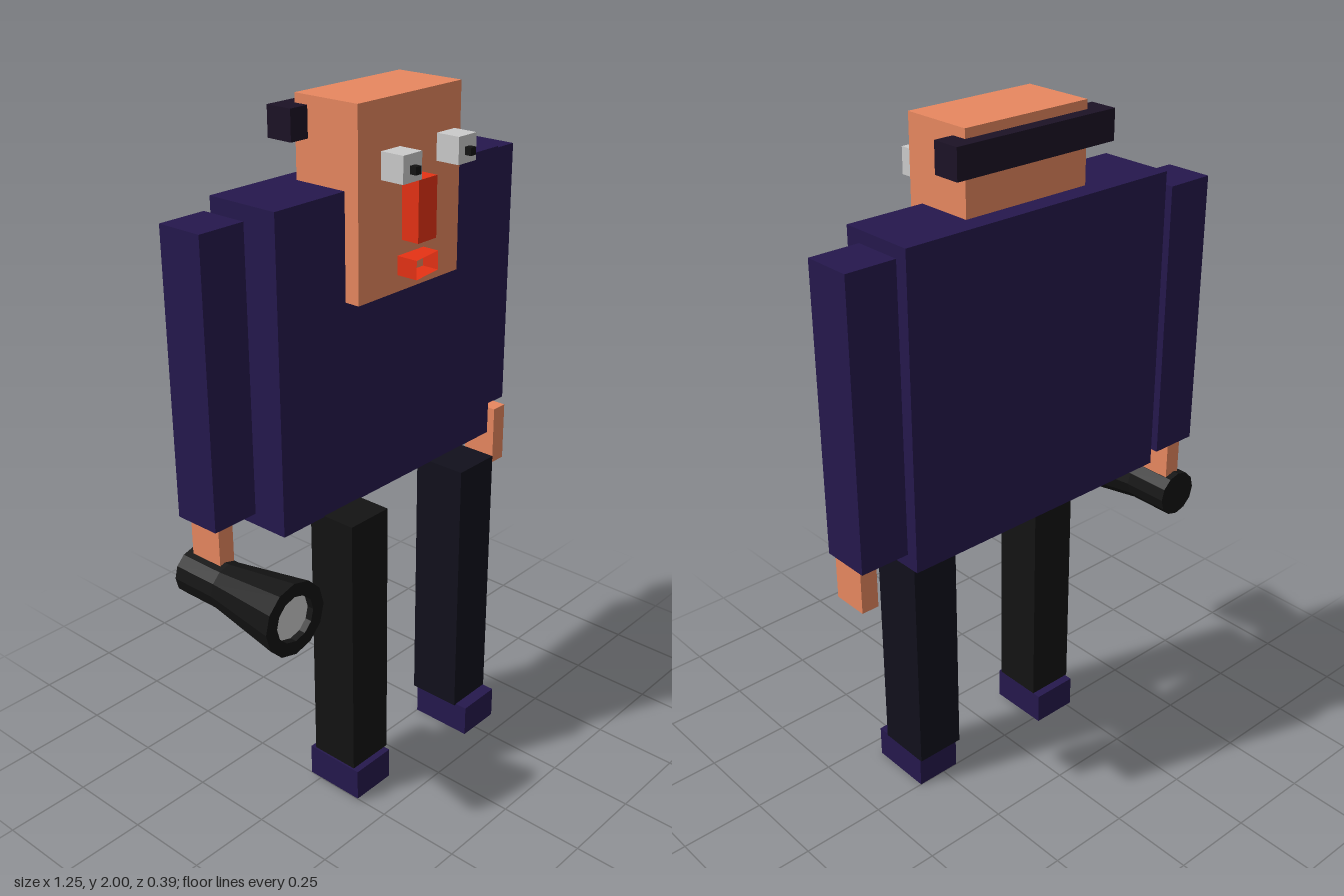
import * as THREE from 'three';

const material = (color, side = THREE.FrontSide) =>
  new THREE.MeshStandardMaterial({ color, side, flatShading: true });

export function createModel() {
  const model = new THREE.Group();
  model.name = 'blockFigure';

  const skin = material(0xe88860);
  const cloth = material(0x25184d);
  const hair = material(0x1c1226);
  const red = material(0xe63214);
  const black = material(0x131313);
  const navy = material(0x11101c);
  const grey = material(0xcccccc);

  // Box given by its extent along each axis
  function box(name, mat, [x0, x1], [y0, y1], [z0, z1]) {
    const mesh = new THREE.Mesh(new THREE.BoxGeometry(x1 - x0, y1 - y0, z1 - z0), mat);
    mesh.position.set((x0 + x1) / 2, (y0 + y1) / 2, (z0 + z1) / 2);
    mesh.name = name;
    model.add(mesh);
    return mesh;
  }

  // Body and head
  box('torso', cloth, [-0.41, 0.465], [0.905, 1.78], [-0.183, 0.04]);
  box('head', skin, [-0.165, 0.235], [1.49, 2], [-0.125, 0.085]);
  box('hairBand', hair, [-0.225, 0.292], [1.892, 1.975], [-0.163, -0.082]);

  // Arms and hands
  box('rightArm', cloth, [-0.562, -0.418], [0.945, 1.74], [-0.198, -0.058]);
  box('leftArm', cloth, [0.475, 0.62], [0.955, 1.752], [-0.16, -0.02]);
  box('rightHand', skin, [-0.537, -0.487], [0.757, 0.937], [-0.18, -0.075]);
  box('leftHand', skin, [0.52, 0.572], [0.777, 0.957], [-0.083, 0.024]);

  // Legs and shoes, standing in a slightly uneven stance
  box('rightLeg', black, [-0.258, -0.113], [0.112, 0.908], [-0.01, 0.14]);
  box('leftLeg', navy, [0.192, 0.34], [0.095, 0.906], [-0.008, 0.155]);
  box('rightShoe', cloth, [-0.258, -0.118], [0.01, 0.106], [-0.03, 0.155]);
  box('leftShoe', cloth, [0.2, 0.338], [0, 0.097], [0, 0.193]);

  // Eyes with small pupils standing out in front
  for (const [side, x, y, z] of [['right', -0.052, 1.838, 0.128], ['left', 0.153, 1.85, 0.138]]) {
    const h = 0.036;
    box(side + 'Eye', grey, [x - h, x + h], [y - h, y + h], [z - h, z + h]);
    box(side + 'Pupil', black, [x - 0.011, x + 0.009], [y - 0.014, y + 0.007], [z + h, z + h + 0.02]);
  }
  box('nose', red, [0.002, 0.075], [1.627, 1.792], [0.08, 0.14]);

  // Mouth: thin open frame whose front edge slants back towards the left
  const mouthGeometry = new THREE.CylinderGeometry(Math.SQRT1_2, Math.SQRT1_2, 1, 4, 1, true);
  mouthGeometry.rotateY(Math.PI / 4).rotateX(Math.PI / 2);
  mouthGeometry.scale(0.105, 0.052, 0.06).translate(0.038, 1.562, 0.112);
  const p = mouthGeometry.attributes.position;
  for (let i = 0; i < p.count; i++) {
    p.setZ(i, p.getZ(i) < 0.112 ? 0.083 : 0.15 - (p.getX(i) + 0.015) * 0.14);
  }
  mouthGeometry.computeVertexNormals();
  const mouth = new THREE.Mesh(mouthGeometry, material(0xe63214, THREE.DoubleSide));
  mouth.name = 'mouth';
  model.add(mouth);

  // Flashlight pointing forward, with a recessed lens
  const flashlight = new THREE.Group();
  flashlight.name = 'flashlight';
  flashlight.position.set(-0.52, 0.766, 0);
  const profile = [
    [0, -0.2], [0.068, -0.2], [0.068, -0.06], [0.105, 0.182], [0.066, 0.182], [0.066, 0.16],
  ].map(([r, z]) => new THREE.Vector2(r, z));
  const casing = new THREE.Mesh(new THREE.LatheGeometry(profile, 12).rotateX(Math.PI / 2), black);
  casing.name = 'flashlightCasing';
  const lens = new THREE.Mesh(new THREE.CircleGeometry(0.067, 12), grey);
  lens.position.z = 0.162;
  lens.name = 'flashlightLens';
  flashlight.add(casing, lens);
  model.add(flashlight);

  return model;
}
